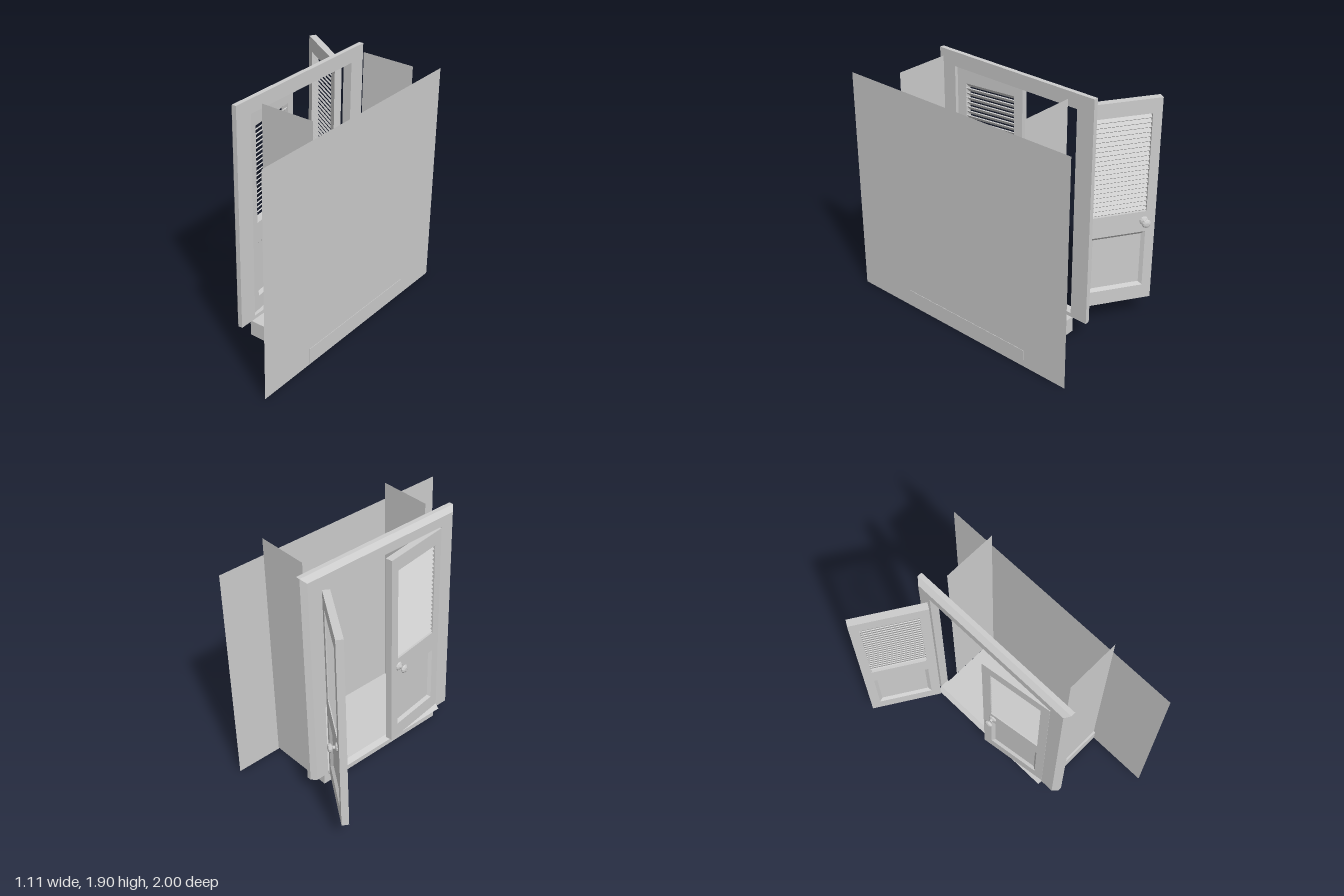
import * as THREE from 'three';

const mat = new THREE.MeshStandardMaterial({ color: 0xcccccc, flatShading: true, side: THREE.DoubleSide });
const W = 0.555, T = 0.054, Y0 = 0.18, Y1 = 1.785; // door width, thickness, bottom, top
const U0 = 0.07, U1 = 0.485; // openings across the door
const LOUVRE = [0.915, 1.675], PANEL = [0.295, 0.75];

function add(parent, name, geometry, x = 0, y = 0, z = 0) {
  const mesh = new THREE.Mesh(geometry, mat);
  mesh.name = name;
  mesh.position.set(x, y, z);
  parent.add(mesh);
  return mesh;
}

const rect = (a0, a1, b0, b1) => [[a0, b0], [a1, b0], [a1, b1], [a0, b1]];
const toPoints = (list) => list.map(([x, y]) => new THREE.Vector2(x, y));

function extrude(outline, depth, holes = [], steps = 1) {
  const shape = new THREE.Shape(toPoints(outline));
  holes.forEach((h) => shape.holes.push(new THREE.Path(toPoints(h))));
  return new THREE.ExtrudeGeometry(shape, { depth, steps, bevelEnabled: false });
}

// Sunken panel: sloping borders down to a flat field, on both faces
function sunkenPanel() {
  const pos = [], slope = 0.024, sink = 0.02;
  for (const s of [1, -1]) {
    const outer = rect(U0, U1, ...PANEL).map((p) => [...p, s * T / 2]);
    const inner = rect(U0 + slope, U1 - slope, PANEL[0] + slope, PANEL[1] - slope)
      .map((p) => [...p, s * (T / 2 - sink)]);
    const quad = (a, b, c, d) => pos.push(...(s > 0 ? [a, b, c, a, c, d] : [a, c, b, a, d, c]).flat());
    for (let i = 0; i < 4; i++) {
      const j = (i + 1) % 4;
      quad(outer[i], outer[j], inner[j], inner[i]);
    }
    quad(...inner);
  }
  const g = new THREE.BufferGeometry();
  g.setAttribute('position', new THREE.Float32BufferAttribute(pos, 3));
  g.computeVertexNormals();
  return g;
}

// Door hinged at its outer corner; out = local z direction of the outer face
function makeDoor(name, x, z, angle, out) {
  const door = new THREE.Group();
  door.name = name;
  door.position.set(x, 0, z);
  door.rotation.y = angle;
  const body = new THREE.Group();
  body.name = name + 'Body';
  body.position.z = -out * T / 2;
  door.add(body);

  const leaf = extrude(rect(0, W, Y0, Y1), T, [rect(U0, U1, ...LOUVRE), rect(U0, U1, ...PANEL)]);
  add(body, 'doorLeaf', leaf, 0, 0, -T / 2);
  add(body, 'sunkenPanel', sunkenPanel());

  // Slats slope down towards the outside
  const count = 21, pitch = (LOUVRE[1] - LOUVRE[0] - 0.01) / count;
  const slat = new THREE.BoxGeometry(U1 - U0, 0.008, 0.052);
  for (let i = 0; i < count; i++) {
    const m = add(body, 'louvreSlat', slat, (U0 + U1) / 2, LOUVRE[1] - pitch * (i + 0.5), 0);
    m.rotation.x = out * Math.PI / 4;
  }

  // Knob with rosette and neck, turned around the outward axis
  const profile = [[0, 0], [0.034, 0], [0.03, 0.008], [0.013, 0.016], [0.012, 0.03],
    [0.026, 0.037], [0.034, 0.048], [0.028, 0.06], [0.014, 0.066], [0, 0.066]];
  const knob = add(body, 'knob', new THREE.LatheGeometry(toPoints(profile), 10), W - 0.085, 0.84, out * T / 2);
  knob.rotation.x = out * Math.PI / 2;
  return door;
}

// Door frame: three-sided casing, outer edge chamfered on the outside
function casing() {
  const g = extrude([[-0.765, 0.148], [-0.625, 0.148], [-0.625, 1.795], [0.49, 1.795], [0.49, 0.148],
    [0.635, 0.148], [0.635, 1.905], [-0.765, 1.905]], 0.07, [], 2);
  const p = g.attributes.position;
  for (let i = 0; i < p.count; i++) {
    if (p.getZ(i) > 0.06) {
      p.setX(i, THREE.MathUtils.clamp(p.getX(i), -0.73, 0.6));
      p.setY(i, Math.min(p.getY(i), 1.87));
    }
  }
  g.computeVertexNormals();
  return g;
}

export function createModel() {
  const model = new THREE.Group();
  model.name = 'closet';

  // Back wall and thin side walls
  add(model, 'backWall', new THREE.PlaneGeometry(2, 1.77), 0.55, 0.885, 0).rotation.y = -Math.PI / 2;
  const side = new THREE.PlaneGeometry(0.42, 1.768);
  add(model, 'rightSideWall', side, 0.34, 1.02, -0.628);
  add(model, 'leftSideWall', side, 0.34, 1.02, 0.498).rotation.y = Math.PI;

  // Floor block
  add(model, 'floorBlock', new THREE.BoxGeometry(0.55, 0.126, 1.141), 0.278, 0.073, -0.057);

  // Casing and sloping sill
  add(model, 'doorCasing', casing(), 0.027).rotation.y = -Math.PI / 2;
  const sill = [[0.027, 0.148], [0.027, 0.178], [-0.043, 0.178], [-0.077, 0.148]].reverse();
  add(model, 'sill', extrude(sill, 1.115), 0, 0, -0.625);

  // One door swung wide, one slightly ajar
  model.add(makeDoor('openDoor', -0.062, -0.628, Math.PI - 0.56, 1));
  model.add(makeDoor('ajarDoor', -0.045, 0.49, Math.PI / 2 + 0.136, -1));
  return model;
}
